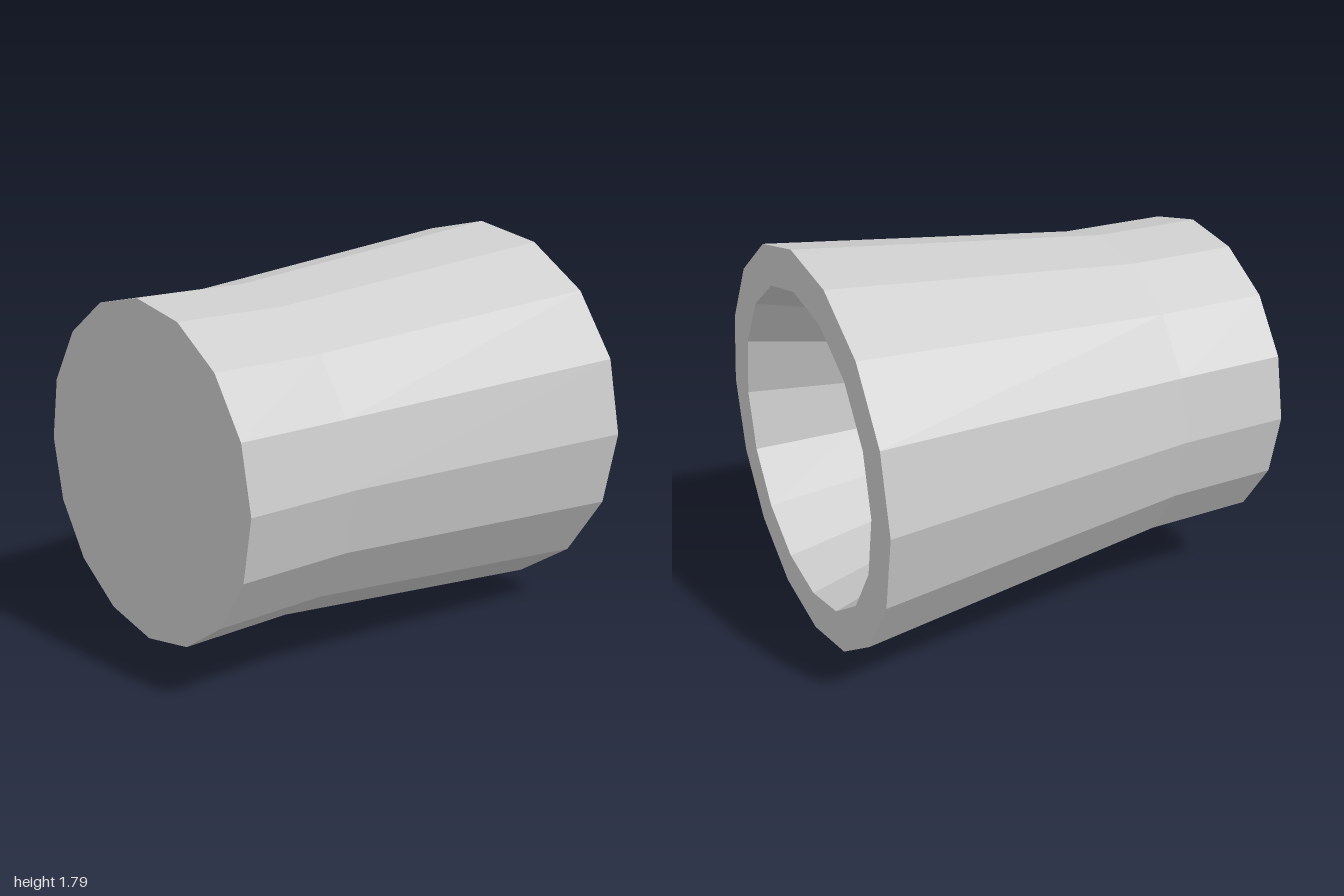
import * as THREE from 'three';

const SIDES = 16;
const RADIUS = 0.895;

export function createModel() {
  const group = new THREE.Group();
  group.name = 'hollowNozzle';

  // Closed profile as (radius, z): cavity floor, cavity wall, rim, flared body, collar, front cap
  const profile = [
    [0, -0.525],
    [0.59, -0.525],
    [0.715, -1],
    [RADIUS, -1],
    [0.74, 0.475],
    [0.74, 1],
    [0, 1],
  ].map(([r, z]) => new THREE.Vector2(r, z));

  // Turn around the axis, then lay it along z
  const geometry = new THREE.LatheGeometry(profile, SIDES);
  geometry.rotateX(Math.PI / 2);
  geometry.translate(0, RADIUS, 0);

  const material = new THREE.MeshStandardMaterial({ color: 0xcccccc, flatShading: true });
  const body = new THREE.Mesh(geometry, material);
  body.name = 'nozzleBody';
  group.add(body);
  return group;
}
